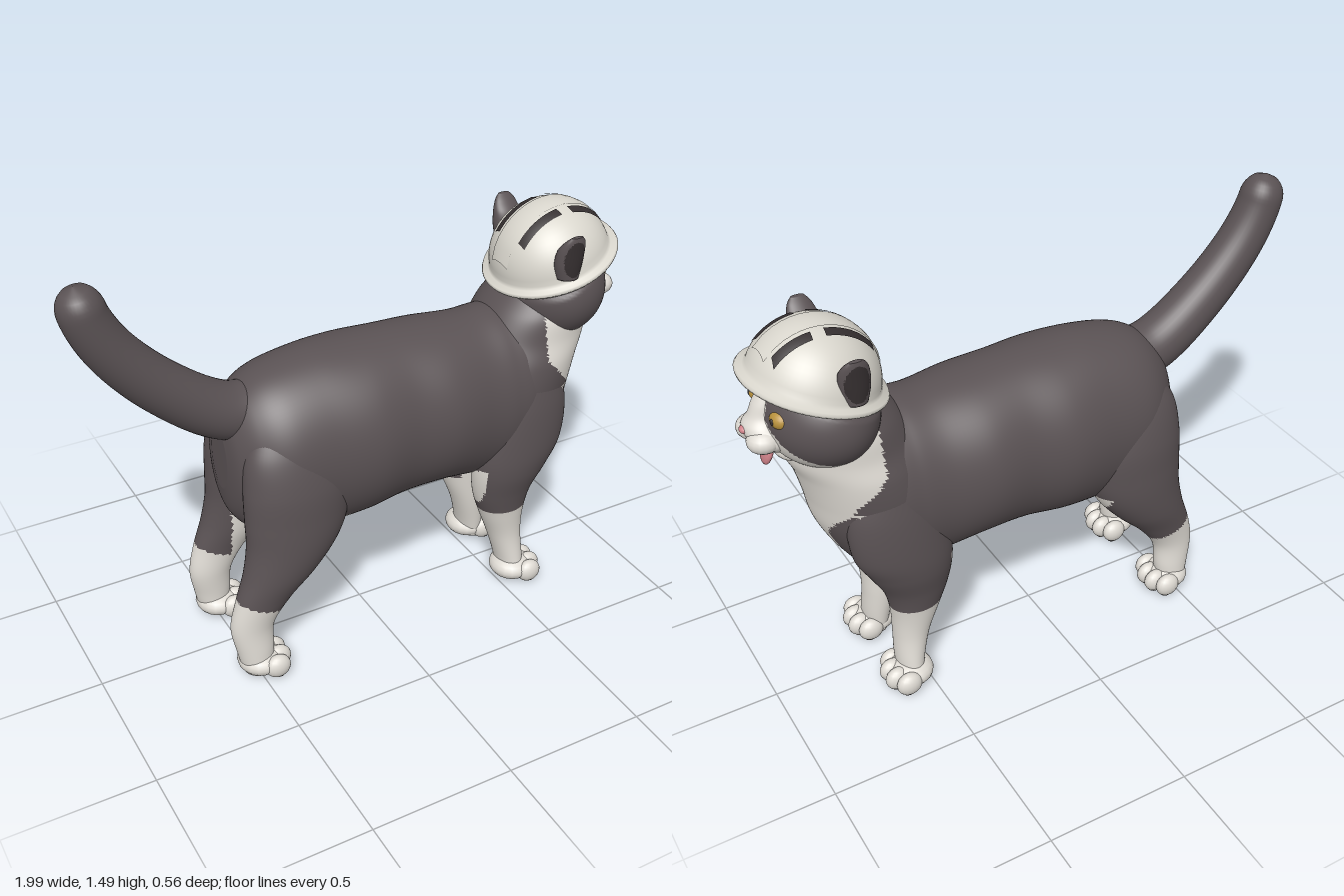
import * as THREE from 'three';

const mat = (name, color, side = THREE.FrontSide) => {
  const m = new THREE.MeshStandardMaterial({ color, side });
  m.name = name;
  return m;
};

// Smoothly resample rows of numbers (Catmull-Rom per column)
function resample(rows, steps) {
  const out = [], last = rows.length - 1;
  const row = i => rows[Math.min(last, Math.max(0, i))];
  for (let i = 0; i < last; i++) {
    for (let k = 0; k < steps; k++) {
      const t = k / steps;
      out.push(row(i).map((b, n) => {
        const a = row(i - 1)[n], c = row(i + 1)[n], d = row(i + 2)[n];
        return b + 0.5 * t * (c - a + t * (2 * a - 5 * b + 4 * c - d + t * (3 * (b - c) + d - a)));
      }));
    }
  }
  out.push(rows[last]);
  return out;
}

// Skin elliptical rings [centre, u, v]; the sweep runs along u x v
function loft(rings, seg) {
  const pos = [], idx = [];
  const closed = [[rings[0][0], new THREE.Vector3(), new THREE.Vector3()], ...rings,
    [rings[rings.length - 1][0], new THREE.Vector3(), new THREE.Vector3()]];
  closed.forEach(([c, u, v], i) => {
    for (let j = 0; j < seg; j++) {
      const a = j / seg * Math.PI * 2;
      const p = c.clone().addScaledVector(u, Math.cos(a)).addScaledVector(v, Math.sin(a));
      pos.push(p.x, p.y, p.z);
      if (i === closed.length - 1) continue;
      const k = i * seg + j, n = i * seg + (j + 1) % seg;
      idx.push(k, n, k + seg, n, n + seg, k + seg);
    }
  });
  const g = new THREE.BufferGeometry();
  g.setAttribute('position', new THREE.Float32BufferAttribute(pos, 3));
  g.setIndex(idx);
  g.computeVertexNormals();
  return g;
}

const V = (x, y, z) => new THREE.Vector3(x, y, z);
// Rows [x, bottom, top, halfWidth]
const loftX = rows => loft(resample(rows, 10).map(([x, b, t, w]) =>
  [V(x, (b + t) / 2, 0), V(0, (t - b) / 2, 0), V(0, 0, w)]), 96);
// Rows [y, back, front, centreZ, halfWidth], rising
const loftY = (rows, side = 1, seg = 56) => loft(resample(rows, 10).map(([y, b, f, z, w]) =>
  [V((b + f) / 2, y, z * side), V(0, 0, w), V((f - b) / 2, 0, 0)]), seg);

// Sort faces into two colour groups by a rule on the face centre
function paint(g, rule) {
  const p = g.attributes.position, src = g.index.array, lists = [[], []];
  for (let i = 0; i < src.length; i += 3) {
    const t = [src[i], src[i + 1], src[i + 2]];
    const mean = f => (f(t[0]) + f(t[1]) + f(t[2])) / 3;
    const second = rule(mean(k => p.getX(k)), mean(k => p.getY(k)), Math.abs(mean(k => p.getZ(k))));
    lists[second ? 1 : 0].push(...t);
  }
  g.setIndex([...lists[0], ...lists[1]]);
  g.addGroup(0, lists[0].length, 0);
  g.addGroup(lists[0].length, lists[1].length, 1);
  return g;
}

// Piecewise linear lookup in rising [key, value] pairs
function lookup(table, k) {
  for (let i = 1; i < table.length; i++) {
    const [k0, v0] = table[i - 1], [k1, v1] = table[i];
    if (k <= k1) return v0 + (v1 - v0) * Math.max(0, (k - k0) / (k1 - k0));
  }
  return table[table.length - 1][1];
}

// White bib, belly, socks and inner thighs
const bib = [[0.62, 0.062], [0.69, 0.075], [0.75, 0.13], [0.79, 0.18], [0.85, 0.4]];
const belly = [[-0.2, 0.53], [0, 0.508], [0.3, 0.503], [0.41, 0.53]];
function coat(x, y, z) {
  if (x < -0.2) return y < 0.27 - (x + 0.45) * 0.4 || (z < 0.15 && y < 0.53 && x > -0.45);
  if (x < 0.41) return y < lookup(belly, x);
  if (y < 0.33) return true;
  const edge = y > 0.8 ? 0.62 + Math.max(0, 0.93 - y) * 0.9 : 0.41;
  return x > edge && z < lookup(bib, y);
}

// White blaze, muzzle surround and throat
const blaze = [[1.0, 0.2], [1.08, 0.12], [1.11, 0.09], [1.15, 0.05], [1.22, 0.03], [1.245, 0.012]];
const face = (x, y, z) => (x > 0.78 && y < 1.245 && z < lookup(blaze, y)) || (x > 0.62 && y < 1.01);

export function createModel() {
  const cat = new THREE.Group();
  cat.name = 'cat';
  const dark = mat('dark fur', 0x5a5254), white = mat('white fur', 0xdedad3);
  const shell = mat('helmet shell', 0xd9d6cd, THREE.DoubleSide);
  const black = mat('black', 0x352f30, THREE.DoubleSide);
  const gold = mat('gold eye', 0xb8913c), pink = mat('pink', 0xd0838a);

  const add = (name, geo, material, parent = cat) => {
    const m = new THREE.Mesh(geo, material);
    m.name = name;
    parent.add(m);
    return m;
  };
  const ball = (name, material, c, r, rot = [0, 0, 0], parent = cat) => {
    const m = add(name, new THREE.SphereGeometry(1, 18, 12), material, parent);
    m.position.set(...c);
    m.scale.set(...r);
    m.rotation.set(...rot);
    return m;
  };
  const fur = [dark, white];

  // Torso and neck
  add('torso', paint(loftX([
    [-0.52, 0.66, 0.88, 0.06], [-0.5, 0.56, 0.95, 0.13], [-0.44, 0.49, 1.02, 0.2], [-0.35, 0.46, 1.065, 0.245],
    [-0.2, 0.443, 1.092, 0.262], [-0.05, 0.453, 1.095, 0.277], [0.1, 0.47, 1.09, 0.26], [0.25, 0.475, 1.08, 0.267],
    [0.4, 0.45, 1.07, 0.243], [0.5, 0.45, 1.075, 0.236], [0.6, 0.5, 1.07, 0.22], [0.7, 0.6, 1.0, 0.15],
  ]), coat), fur);
  add('neckAndChest', paint(loftY([
    [0.375, 0.5, 0.57, 0, 0.07], [0.43, 0.46, 0.635, 0, 0.12], [0.5, 0.42, 0.685, 0, 0.17], [0.6, 0.38, 0.75, 0, 0.2],
    [0.7, 0.36, 0.795, 0, 0.215], [0.8, 0.36, 0.815, 0, 0.227], [0.9, 0.4, 0.84, 0, 0.222],
    [0.98, 0.44, 0.872, 0, 0.202], [1.07, 0.5, 0.87, 0, 0.19], [1.14, 0.57, 0.84, 0, 0.15],
  ], 1, 96), coat), fur);

  // Tail
  const tailPath = new THREE.CatmullRomCurve3([V(-0.34, 0.92, 0), V(-0.5, 0.95, 0), V(-0.69, 1.085, 0),
    V(-0.84, 1.25, 0), V(-0.91, 1.38, 0), V(-0.935, 1.49, 0)]);
  const tailRings = [];
  for (let i = 0; i <= 60; i++) {
    const t = i / 60, T = tailPath.getTangentAt(t);
    const tip = Math.max(0, (t - 0.91) / 0.09);
    const r = (0.102 - 0.03 * t) * Math.sqrt(Math.max(0, 1 - tip * tip));
    tailRings.push([tailPath.getPointAt(t), V(-T.y, T.x, 0).multiplyScalar(r), V(0, 0, r)]);
  }
  add('tail', loft(tailRings, 36), dark);

  // Legs and paws
  const hind = [[0.02, -0.555, -0.45, 0.188, 0.058], [0.1, -0.572, -0.44, 0.185, 0.055], [0.2, -0.587, -0.43, 0.178, 0.055],
    [0.3, -0.565, -0.36, 0.18, 0.066], [0.4, -0.53, -0.26, 0.178, 0.09], [0.5, -0.51, -0.18, 0.172, 0.106],
    [0.6, -0.508, -0.14, 0.165, 0.113], [0.72, -0.505, -0.13, 0.157, 0.113], [0.84, -0.485, -0.17, 0.14, 0.095],
    [0.95, -0.42, -0.25, 0.11, 0.06]];
  const fore = [[0.02, 0.52, 0.6, 0.15, 0.07], [0.1, 0.505, 0.605, 0.137, 0.068], [0.2, 0.475, 0.602, 0.126, 0.068],
    [0.3, 0.435, 0.606, 0.128, 0.074], [0.4, 0.4, 0.628, 0.135, 0.084], [0.5, 0.385, 0.68, 0.145, 0.098],
    [0.6, 0.39, 0.73, 0.15, 0.1], [0.75, 0.42, 0.74, 0.145, 0.095], [0.9, 0.48, 0.7, 0.13, 0.08]];
  const paw = (name, x, z) => {
    const g = new THREE.Group();
    g.name = name;
    g.position.set(x, 0, z);
    cat.add(g);
    ball('palm', white, [-0.005, 0.047, 0], [0.078, 0.047, 0.084], undefined, g);
    ball('palmPad', black, [-0.01, 0.009, 0], [0.04, 0.009, 0.042], undefined, g);
    [-0.068, -0.024, 0.024, 0.068].forEach((dz, i) => {
      const dx = i % 3 ? 0.054 : 0.032;
      ball('toe', white, [dx, 0.044, dz], [0.046, 0.043, 0.031], undefined, g);
      ball('toePad', black, [dx + 0.005, 0.006, dz], [0.02, 0.006, 0.015], undefined, g);
    });
  };
  for (const s of [1, -1]) {
    const side = s < 0 ? 'left' : 'right';
    add(side + 'HindLeg', paint(loftY(hind, s), coat), fur);
    add(side + 'FrontLeg', paint(loftY(fore, s), coat), fur);
    paw(side + 'HindPaw', -0.485, 0.182 * s);
    paw(side + 'FrontPaw', 0.567, 0.156 * s);
  }

  // Head: an egg, shorter behind and drawn in beneath the helmet
  const skull = new THREE.SphereGeometry(1, 96, 72);
  skull.scale(0.202, 0.19, 0.236).translate(0.73, 1.125, 0);
  const sp = skull.attributes.position;
  for (let i = 0; i < sp.count; i++) {
    const x = sp.getX(i), y = sp.getY(i);
    const above = (y - 1.215) * 0.947 - (x - 0.748) * 0.32;
    if (x < 0.73) sp.setX(i, 0.73 + (x - 0.73) * 0.84);
    sp.setZ(i, sp.getZ(i) * (1 - 0.17 * THREE.MathUtils.smoothstep(above, -0.03, 0.01)));
  }
  skull.computeVertexNormals();
  add('head', paint(skull, face), fur);

  // Face
  add('muzzle', loftY([[1.03, 0.86, 0.93, 0, 0.06], [1.06, 0.85, 0.962, 0, 0.088], [1.09, 0.85, 0.982, 0, 0.09],
    [1.12, 0.85, 0.983, 0, 0.068], [1.15, 0.86, 0.963, 0, 0.048], [1.19, 0.87, 0.945, 0, 0.038],
    [1.235, 0.87, 0.918, 0, 0.025]], 1, 40), white);
  ball('nose', pink, [0.975, 1.108, 0], [0.02, 0.014, 0.02]);
  ball('chin', white, [0.85, 1.005, 0], [0.05, 0.036, 0.075]);
  ball('mouth', black, [0.895, 1.04, 0], [0.035, 0.02, 0.055]);
  ball('tongue', pink, [0.918, 1.012, 0], [0.016, 0.05, 0.038], [0, 0, 0.3]);
  const earRows = [[1.22, 0.65, 0.73, 0.18, 0.04], [1.27, 0.64, 0.74, 0.184, 0.04], [1.32, 0.642, 0.742, 0.192, 0.034],
    [1.355, 0.655, 0.732, 0.207, 0.02], [1.375, 0.672, 0.715, 0.217, 0.008]];
  const earHollow = (x, y, z) => z > 0.195 && Math.hypot((x - 0.692) / 0.04, (y - 1.295) / 0.065) < 1;
  for (const s of [1, -1]) {
    ball('cheekPuff', white, [0.935, 1.08, 0.043 * s], [0.056, 0.04, 0.053], [0, -0.3 * s, 0]);
    ball('eyeRim', black, [0.887, 1.165, 0.088 * s], [0.026, 0.034, 0.043], [0, -0.35 * s, 0]);
    ball('eye', gold, [0.889, 1.165, 0.088 * s], [0.034, 0.031, 0.039], [0, -0.35 * s, 0]);
    ball('pupil', black, [0.92, 1.167, 0.092 * s], [0.005, 0.011, 0.009], [0, -0.2 * s, 0]);
    add('ear', paint(loftY(earRows, s, 40), earHollow), [dark, black]);
  }

  // Helmet: dome with flared brim, tilted back
  const helmet = new THREE.Group();
  helmet.name = 'helmet';
  helmet.position.set(0.748, 1.215, 0);
  helmet.rotation.z = 0.325;
  cat.add(helmet);
  const R = 0.209, H = 0.2;
  const profile = [[0.19, -0.008], [0.234, -0.012], [0.238, -0.004], [0.234, 0.004], [0.214, 0.008]];
  for (let i = 1; i <= 16; i++) {
    const a = i / 16 * Math.PI / 2;
    profile.push([R * Math.cos(a), Math.max(0.012, H * Math.sin(a))]);
  }
  add('dome', new THREE.LatheGeometry(profile.map(([x, y]) => new THREE.Vector2(Math.max(0, x), y)), 64), shell, helmet);

  // Thin plates hugging the dome
  const plate = (name, material, u0, u1, z0, z1, lift) => {
    const g = new THREE.PlaneGeometry(1, 1, 16, 6).rotateX(-Math.PI / 2);
    const p = g.attributes.position;
    for (let i = 0; i < p.count; i++) {
      const x = u0 + (p.getX(i) + 0.5) * (u1 - u0), z = z0 + (p.getZ(i) + 0.5) * (z1 - z0);
      const q = Math.sqrt(Math.max(0, 1 - (x * x + z * z) / (R * R)));
      const k = 1 + lift / R;
      p.setXYZ(i, x * k, H * q * k, z * k);
    }
    g.computeVertexNormals();
    add(name, g, material, helmet);
  };
  plate('centreRidge', shell, -0.19, 0.19, -0.045, 0.045, 0.004);
  for (const s of [1, -1]) {
    plate('rearSlot', black, -0.13, 0.035, 0.07 * s - 0.015, 0.07 * s + 0.015, 0.004);
    plate('frontSlot', black, 0.075, 0.175, 0.073 * s - 0.015, 0.073 * s + 0.015, 0.004);
  }
  return cat;
}
